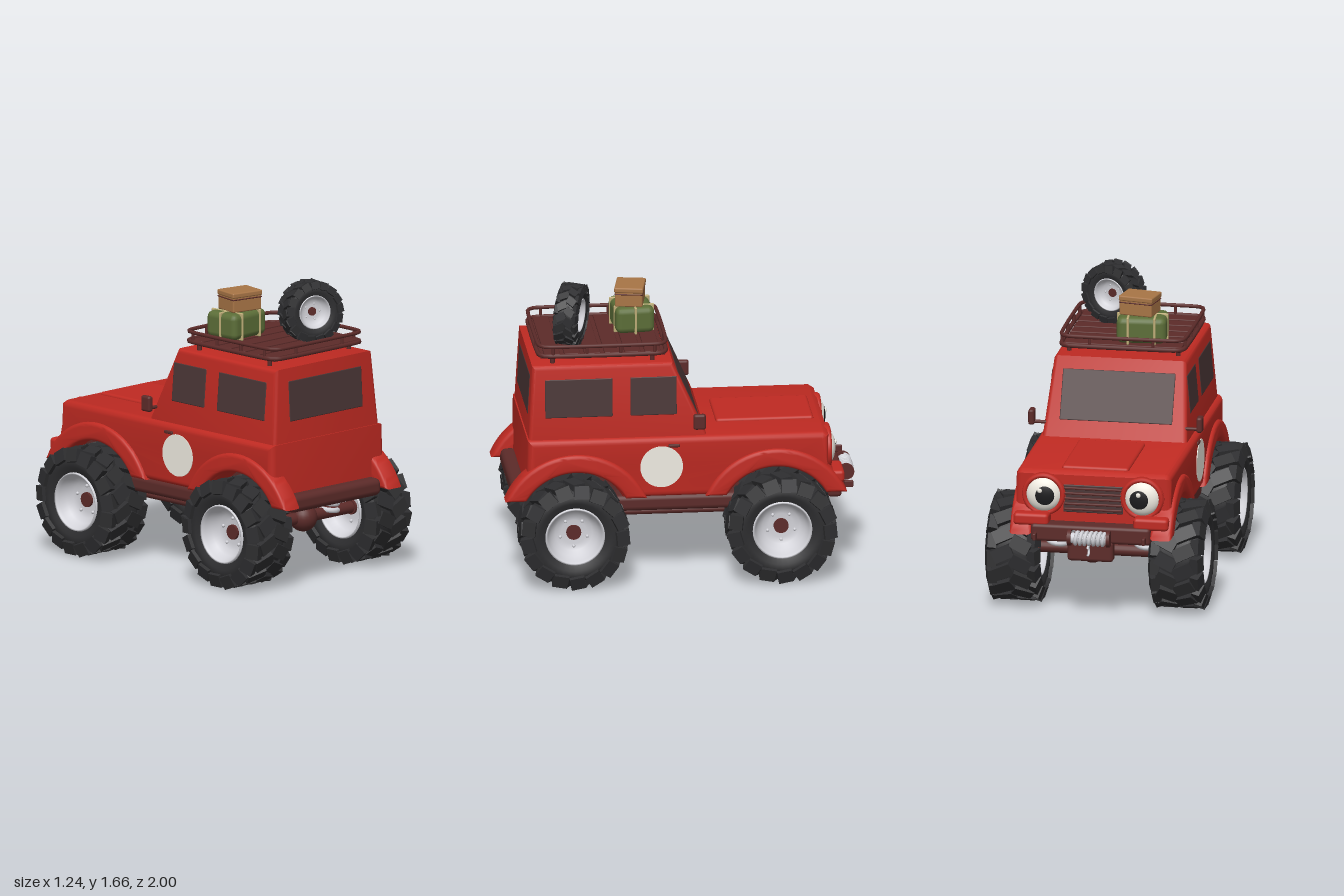
import * as THREE from 'three';
import { mergeGeometries, toCreasedNormals } from 'three/addons/utils/BufferGeometryUtils.js';
import { RoundedBoxGeometry } from 'three/addons/geometries/RoundedBoxGeometry.js';

const mat = (color, side = THREE.FrontSide) => new THREE.MeshStandardMaterial({ color, side });
const RED = mat(0xbf2a22), DARK = mat(0x5c2b29), GLASS = mat(0x4a3636), RUBBER = mat(0x2e2e30);
const RIM = mat(0xd2d2d8, THREE.DoubleSide), WHITE = mat(0xf0ece2), BLACK = mat(0x1c1c1e);
const GREEN = mat(0x5c6e38), BROWN = mat(0xa87546), STRAP = mat(0xbfae78);
const V = (x, y, z) => new THREE.Vector3(x, y, z);
const REAR = 0.63, FRONT = -0.535, AXLE = 0.315;

function add(parent, name, geo, material, x = 0, y = 0, z = 0, rx = 0, ry = 0, rz = 0) {
  const m = new THREE.Mesh(geo, material);
  m.name = name;
  m.position.set(x, y, z);
  m.rotation.set(rx, ry, rz);
  parent.add(m);
  return m;
}
const box = (w, h, d, r = 0.01) => new RoundedBoxGeometry(w, h, d, 2, r);
const rod = (a, b, r, sides = 12) => new THREE.TubeGeometry(new THREE.LineCurve3(a, b), 1, r, sides);

// Extrudes a (z, y) profile across x, centred, with rounded edges
function across(shape, width, bevel) {
  const g = new THREE.ExtrudeGeometry(shape, {
    depth: width - 2 * bevel, bevelThickness: bevel, bevelSize: bevel, bevelOffset: -bevel,
    bevelSegments: 4, curveSegments: 20,
  });
  g.translate(0, 0, -(width - 2 * bevel) / 2).rotateY(-Math.PI / 2);
  return g;
}

// Coil wound around the y axis
function coil(radius, length, turns, wire) {
  const pts = [];
  for (let i = 0; i <= turns * 12; i++) {
    const a = i / 12 * Math.PI * 2;
    pts.push(V(Math.cos(a) * radius, (i / (turns * 12) - 0.5) * length, Math.sin(a) * radius));
  }
  return new THREE.TubeGeometry(new THREE.CatmullRomCurve3(pts), turns * 16, wire, 7);
}

// Wheel with its axis along y
function wheel() {
  const g = new THREE.Group();
  const half = [[0.16, 0.115], [0.2, 0.135], [0.235, 0.138], [0.265, 0.115], [0.28, 0.07]];
  const ring = [...half.map(([r, a]) => [r, -a]), ...half.slice().reverse()];
  add(g, 'tire', new THREE.LatheGeometry(ring.map(p => new THREE.Vector2(...p)), 40), RUBBER);
  // Chevron lugs and shoulder blocks, staggered between the two sides
  const lugs = [], n = 17;
  for (const s of [-1, 1]) for (let i = 0; i < n; i++) {
    const a = (i + (s > 0 ? 0.5 : 0)) / n * Math.PI * 2;
    const centre = new THREE.BoxGeometry(0.036, 0.115, 0.075).rotateX(s * 0.45).translate(0.286, s * 0.05, 0);
    const shoulder = new THREE.BoxGeometry(0.075, 0.05, 0.084).rotateZ(-s * 0.32).translate(0.26, s * 0.122, s * 0.035);
    lugs.push(centre.rotateY(a), shoulder.rotateY(a));
  }
  add(g, 'treadLugs', mergeGeometries(lugs), RUBBER);
  // Deep dished rim, flush hub cap and bolts on both faces
  const dish = [[0.168, 0.118], [0.165, 0.13], [0.157, 0.128], [0.15, 0.105], [0.132, 0.065], [0.105, 0.04], [0.07, 0.03], [0, 0.03]];
  for (const s of [-1, 1]) {
    add(g, 'rim', new THREE.LatheGeometry(dish.map(([r, a]) => new THREE.Vector2(r, a * s)), 40), RIM);
    add(g, 'hubCap', new THREE.CylinderGeometry(0.042, 0.042, 0.03, 20), DARK, 0, s * 0.03, 0);
    for (let i = 0; i < 5; i++) {
      const a = i / 5 * Math.PI * 2;
      add(g, 'bolt', new THREE.SphereGeometry(0.01, 8, 6), RIM, Math.cos(a) * 0.08, s * 0.036, Math.sin(a) * 0.08);
    }
  }
  return g;
}

function buildBody(g) {
  // Lower body with wheel arches cut out
  const cut = 0.33, s = new THREE.Shape();
  const arc = (c, y0, y1) => {
    const a0 = Math.asin((y0 - AXLE) / cut), a1 = Math.PI - Math.asin((y1 - AXLE) / cut);
    s.absarc(c, AXLE, cut, a1, a0, true);
  };
  s.moveTo(-0.81, 0.5);
  arc(FRONT, 0.48, 0.5);
  arc(REAR, 0.53, 0.48);
  s.lineTo(0.885, 0.53);
  s.lineTo(0.88, 0.83);
  s.lineTo(-0.78, 0.83);
  s.lineTo(-0.81, 0.81);
  add(g, 'lowerBody', toCreasedNormals(across(s, 0.88, 0.036), 0.6), RED);
  add(g, 'hoodPanel', box(0.38, 0.036, 0.55, 0.016), RED, 0, 0.828, -0.475);

  // Cabin narrowing towards the roof
  const c = new THREE.Shape([[0.875, 0.78], [0.85, 1.25], [0.06, 1.25], [-0.148, 0.78]].map(p => new THREE.Vector2(...p)));
  const cabin = across(c, 0.83, 0.025), p = cabin.attributes.position;
  for (let i = 0; i < p.count; i++) p.setX(i, p.getX(i) * (1 - 0.205 * (p.getY(i) - 0.78)));
  add(g, 'cabin', toCreasedNormals(cabin, 0.6), RED);
  add(g, 'rearWindow', box(0.57, 0.23, 0.014, 0.005), GLASS, 0, 1.06, 0.856, -0.055);
  add(g, 'windshield', box(0.64, 0.29, 0.014, 0.005), GLASS, 0, 1.05, -0.024, 0.416);

  // Fender flare band around a wheel
  const f = new THREE.Shape(), ri = 0.325, ro = 0.43;
  const ai = Math.asin(0.165 / ri), ao = Math.asin(0.165 / ro);
  f.absarc(0, 0, ro, ao, Math.PI - ao, false);
  f.absarc(0, 0, ri, Math.PI - ai, ai, true);
  const fender = toCreasedNormals(across(f, 0.125, 0.022), 0.6);

  for (const x of [-1, 1]) {
    add(g, 'rearFender', fender, RED, x * 0.398, AXLE, REAR - 0.02);
    add(g, 'frontFender', fender, RED, x * 0.398, AXLE, FRONT + 0.02);
    add(g, 'frontCorner', box(0.2, 0.07, 0.12, 0.02), RED, x * 0.34, 0.565, -0.84);
    add(g, 'rearSideWindow', box(0.014, 0.22, 0.38, 0.005), GLASS, x * 0.387, 1.062, 0.59, 0, 0, x * 0.085);
    add(g, 'frontSideWindow', box(0.014, 0.22, 0.26, 0.005), GLASS, x * 0.387, 1.062, 0.17, 0, 0, x * 0.085);
    add(g, 'sideDisc', new THREE.CylinderGeometry(0.12, 0.12, 0.014, 40), WHITE, x * 0.437, 0.66, 0.13, 0, 0, Math.PI / 2);
    add(g, 'doorHandle', box(0.025, 0.018, 0.065, 0.006), DARK, x * 0.438, 0.782, 0.06);
    add(g, 'mirrorArm', rod(V(x * 0.38, 0.9, -0.08), V(x * 0.48, 0.9, -0.08), 0.01), DARK);
    add(g, 'mirror', box(0.035, 0.09, 0.07, 0.014), DARK, x * 0.477, 0.93, -0.08);
    // Eye-shaped headlights
    const eye = new THREE.Group();
    eye.name = 'headlight';
    eye.position.set(x * 0.28, 0.695, -0.795);
    add(eye, 'headlightHousing', new THREE.CylinderGeometry(0.12, 0.125, 0.07, 36), RED, 0, 0, 0.01, Math.PI / 2);
    add(eye, 'headlightRing', new THREE.TorusGeometry(0.108, 0.014, 10, 36), RED, 0, 0, -0.025);
    add(eye, 'eyeball', new THREE.SphereGeometry(0.1, 28, 20), WHITE, 0, 0, -0.015).scale.z = 0.52;
    const look = new THREE.Group();
    look.name = 'gaze';
    look.position.z = -0.015;
    look.scale.z = 0.52;
    const cap = new THREE.SphereGeometry(0.102, 24, 8, 0, Math.PI * 2, 0, 0.56).rotateX(-Math.PI / 2);
    add(look, 'pupil', cap, BLACK, 0, 0, 0, 0, x * 0.15);
    add(look, 'glint', new THREE.SphereGeometry(0.014, 10, 8), WHITE, 0.015, 0.03, -0.1);
    eye.add(look);
    g.add(eye);
  }
  // Grille
  add(g, 'grille', box(0.34, 0.16, 0.02, 0.006), GLASS, 0, 0.675, -0.804);
  for (let i = 0; i < 5; i++) add(g, 'grilleBar', box(0.33, 0.014, 0.02, 0.005), DARK, 0, 0.615 + i * 0.03, -0.812);
}

function buildChassis(g) {
  add(g, 'innerCore', box(0.6, 0.3, 1.64), DARK, 0, 0.6, 0.035);
  add(g, 'floorPan', box(0.82, 0.095, 0.72, 0.03), DARK, 0, 0.435, 0.04);
  add(g, 'rearBumper', box(0.7, 0.1, 0.1, 0.035), DARK, 0, 0.49, 0.91);
  add(g, 'frontBumper', box(0.68, 0.1, 0.11, 0.02), DARK, 0, 0.495, -0.855);
  add(g, 'skidBox', box(0.26, 0.12, 0.08, 0.02), DARK, 0, 0.4, -0.875);
  // Winch
  add(g, 'winchDrum', new THREE.CylinderGeometry(0.03, 0.03, 0.2, 16), RIM, 0, 0.485, -0.945, 0, 0, Math.PI / 2);
  add(g, 'winchCable', coil(0.034, 0.18, 7, 0.011), RIM, 0, 0.485, -0.945, 0, 0, Math.PI / 2);
  add(g, 'winchHook', new THREE.TorusGeometry(0.025, 0.007, 8, 18, 4.6), RIM, 0, 0.42, -0.968, 0, Math.PI / 2, 0.8);
  for (const x of [-1, 1]) {
    add(g, 'winchPlate', new THREE.CylinderGeometry(0.046, 0.046, 0.02, 20), DARK, x * 0.11, 0.485, -0.94, 0, 0, Math.PI / 2);
    add(g, 'towPin', box(0.018, 0.04, 0.08, 0.006), DARK, x * 0.31, 0.48, -0.92);
    add(g, 'sideBar', rod(V(x * 0.25, 0.34, REAR), V(x * 0.25, 0.34, FRONT), 0.02), DARK);
  }
  add(g, 'driveShaft', rod(V(0.05, 0.33, REAR), V(0.05, 0.33, FRONT), 0.025), DARK);

  // Axles, coil springs and wheels
  for (const [z, end] of [[REAR, 'rear'], [FRONT, 'front']]) {
    add(g, end + 'Axle', rod(V(-0.44, 0.31, z), V(0.44, 0.31, z), 0.034, 16), DARK);
    add(g, end + 'Differential', new THREE.SphereGeometry(0.08, 24, 16), DARK, 0.05, 0.31, z);
    for (const x of [-1, 1]) {
      add(g, end + 'Spring', coil(0.05, 0.15, 4, 0.015), RIM, x * 0.25, 0.39, z);
      const w = wheel();
      w.name = end + 'Wheel';
      w.position.set(x * 0.463, AXLE - 0.005, z);
      w.rotation.z = -x * Math.PI / 2;
      g.add(w);
    }
  }
}

function buildRoofLoad(g) {
  // Rack rails follow a rounded rectangle
  const rail = (y, r) => {
    const hw = 0.35, hd = 0.358, c = 0.06, pts = [];
    [[1, 1], [-1, 1], [-1, -1], [1, -1]].forEach(([sx, sz], q) => {
      for (let i = 0; i <= 4; i++) {
        const a = (q + i / 4) * Math.PI / 2;
        pts.push(V(sx * (hw - c) + c * Math.cos(a), y, 0.45 + sz * (hd - c) + c * Math.sin(a)));
      }
    });
    return new THREE.TubeGeometry(new THREE.CatmullRomCurve3(pts, true), 96, r, 8, true);
  };
  add(g, 'lowerRail', rail(1.3, 0.013), DARK);
  add(g, 'upperRail', rail(1.355, 0.011), DARK);
  add(g, 'rackFloor', box(0.68, 0.014, 0.7, 0.005), DARK, 0, 1.292, 0.45);
  for (let i = 0; i < 6; i++) add(g, 'rackSlat', box(0.67, 0.014, 0.09, 0.005), DARK, 0, 1.302, 0.168 + i * 0.113);
  for (const x of [-1, 1]) {
    for (const z of [0.17, 0.73]) add(g, 'rackLeg', rod(V(x * 0.31, 1.23, z), V(x * 0.31, 1.3, z), 0.013), DARK);
    for (const z of [0.16, 0.35, 0.54, 0.73]) add(g, 'railPost', rod(V(x * 0.35, 1.3, z), V(x * 0.35, 1.355, z), 0.009), DARK);
    for (const z of [0.092, 0.808]) add(g, 'railPost', rod(V(x * 0.18, 1.3, z), V(x * 0.18, 1.355, z), 0.009), DARK);
  }

  // Soft bag with straps
  const bag = new THREE.Group();
  bag.name = 'bag';
  bag.position.set(-0.095, 1.388, 0.245);
  bag.rotation.y = 0.08;
  add(bag, 'bagBody', box(0.28, 0.15, 0.22, 0.035), GREEN);
  for (const x of [-0.075, 0.075]) add(bag, 'strap', box(0.014, 0.158, 0.23, 0.006), STRAP, x);
  add(bag, 'longStrap', box(0.29, 0.158, 0.014, 0.006), STRAP);
  g.add(bag);

  // Suitcase with lid rim
  const suitcase = new THREE.Group();
  suitcase.name = 'suitcase';
  suitcase.position.set(-0.078, 1.518, 0.255);
  suitcase.rotation.y = -0.18;
  add(suitcase, 'suitcaseBody', box(0.192, 0.11, 0.155, 0.008), BROWN);
  add(suitcase, 'suitcaseLid', box(0.2, 0.03, 0.163, 0.008), BROWN, 0, 0.042);
  add(suitcase, 'suitcaseBand', box(0.196, 0.008, 0.159, 0.004), DARK, 0, 0.018);
  g.add(suitcase);

  // Spare wheel standing on the rack
  const spare = wheel();
  spare.name = 'spareWheel';
  spare.scale.set(0.57, 0.46, 0.57);
  spare.rotation.set(Math.PI / 2 - 0.06, 0, 0.34);
  spare.position.set(0.133, 1.474, 0.607);
  g.add(spare);
}

export function createModel() {
  const g = new THREE.Group();
  g.name = 'offRoadCar';
  buildBody(g);
  buildChassis(g);
  buildRoofLoad(g);
  return g;
}
